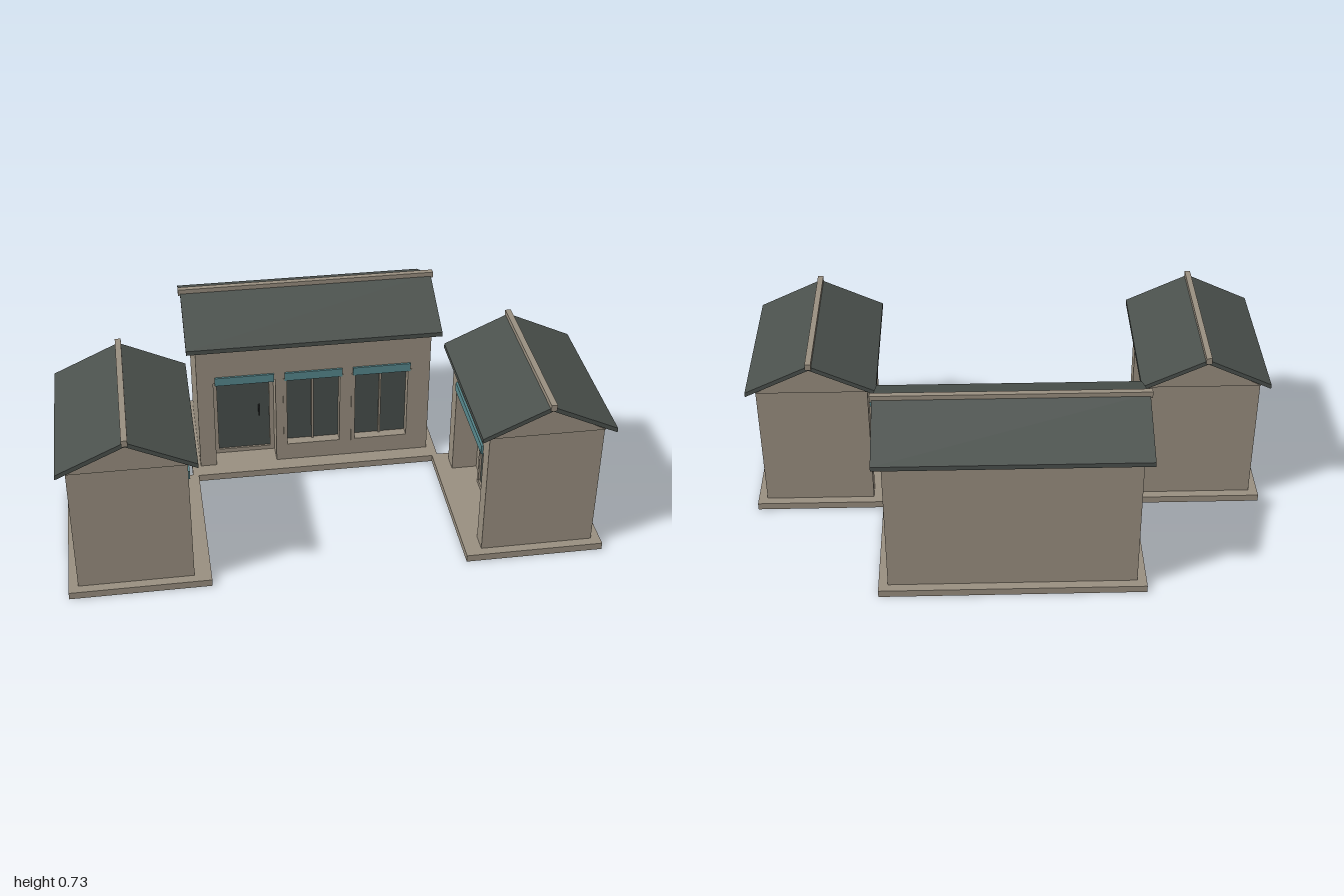
import * as THREE from 'three';

const mat = (name, color) => {
  const m = new THREE.MeshStandardMaterial({ color });
  m.name = name;
  return m;
};
const wallMat = mat('plaster', 0x988e7f);
const roofMat = mat('roof slate', 0x4a504c);
const glassMat = mat('dark glass', 0x484f4b);
const tealMat = mat('teal lintel', 0x56878c);
const handleMat = mat('handle', 0x2a2c2b);

const BASE = 0.028; // top of the plinth
const DEEP = 0.1;   // thickness of the front wall, depth of door recesses
const HEAD = 0.42;  // top of all openings

function add(group, name, geometry, material) {
  const mesh = new THREE.Mesh(geometry, material);
  mesh.name = name;
  group.add(mesh);
  return mesh;
}

// Box given by its limits on each axis
function box(group, name, material, x0, x1, y0, y1, z0, z1) {
  const mesh = add(group, name, new THREE.BoxGeometry(x1 - x0, y1 - y0, z1 - z0), material);
  mesh.position.set((x0 + x1) / 2, (y0 + y1) / 2, (z0 + z1) / 2);
  return mesh;
}

// Profile of [z, y] points extruded along x, centred
function alongX(group, name, material, points, length) {
  const shape = new THREE.Shape(points.map(([z, y]) => new THREE.Vector2(-z, y)));
  const g = new THREE.ExtrudeGeometry(shape, { depth: length, bevelEnabled: false });
  g.translate(0, 0, -length / 2);
  g.rotateY(Math.PI / 2);
  return add(group, name, g, material);
}

const rect = (T, x0, x1, y0, y1) => {
  const s = new T();
  s.moveTo(x0, y0);
  s.lineTo(x1, y0);
  s.lineTo(x1, y1);
  s.lineTo(x0, y1);
  s.closePath();
  return s;
};

// Flat frame with a hole, its back at z
function frame(group, name, x0, x1, y0, y1, bar, z, depth) {
  const s = rect(THREE.Shape, x0, x1, y0, y1);
  s.holes.push(rect(THREE.Path, x0 + bar, x1 - bar, y0 + bar, y1 - 0.006));
  const mesh = add(group, name, new THREE.ExtrudeGeometry(s, { depth, bevelEnabled: false }), wallMat);
  mesh.position.z = z;
}

function door(group, cx, back) {
  const h = 0.1225;
  frame(group, 'doorFrame', cx - h, cx + h, BASE, HEAD, 0.018, back, 0.02);
  box(group, 'door', glassMat, cx - h + 0.017, cx + h - 0.017, BASE + 0.006, HEAD - 0.004, back, back + 0.012);
  box(group, 'doorHandle', handleMat, cx + 0.06, cx + 0.066, 0.2, 0.25, back + 0.012, back + 0.022);
}

function windowUnit(group, x0, x1, front) {
  const cx = (x0 + x1) / 2;
  frame(group, 'windowFrame', x0, x1, 0.09, HEAD, 0.015, front - 0.04, 0.044);
  box(group, 'windowGlass', glassMat, x0 + 0.01, x1 - 0.01, 0.1, HEAD - 0.002, front - 0.045, front - 0.035);
  box(group, 'windowMullion', wallMat, cx - 0.004, cx + 0.004, 0.1, HEAD - 0.002, front - 0.035, front - 0.025);
}

// House facing +z: w along the ridge, d deep; openings are [x0, x1, y0]
function house(name, o) {
  const g = new THREE.Group();
  g.name = name;
  const { w, d, top, apex, tip, ridge, eave, length } = o;
  const hw = w / 2, hd = d / 2;
  const back = hd - DEEP;

  box(g, 'plinth', wallMat, -hw - 0.035, hw + 0.035, 0, BASE, -hd - 0.035, hd + 0.0625);
  box(g, 'body', wallMat, -hw, hw, BASE - 0.01, top, -hd, back);

  // Front wall with openings
  const s = rect(THREE.Shape, -hw, hw, BASE - 0.01, top);
  for (const [x0, x1, y0] of o.openings) s.holes.push(rect(THREE.Path, x0, x1, y0, HEAD));
  const front = add(g, 'frontWall', new THREE.ExtrudeGeometry(s, { depth: DEEP, bevelEnabled: false }), wallMat);
  front.position.z = back;

  // Teal lintels over the openings
  for (const [x0, x1] of o.openings)
    box(g, 'lintel', tealMat, x0 + 0.006, x1 - 0.006, HEAD - 0.006, 0.449, hd - 0.008, hd + 0.008);

  // Eave plate, gables and roof
  box(g, 'eavePlate', wallMat, -hw - 0.01, hw + 0.01, top, top + 0.016, -hd, hd + 0.028);
  alongX(g, 'gable', wallMat, [[hd, top - 0.003], [0, apex], [-hd, top - 0.003]].reverse(), w + 0.024);
  const t = 0.018;
  alongX(g, 'roof', roofMat,
    [[eave, tip], [0, ridge], [-eave, tip], [-eave, tip - t], [0, ridge - t], [eave, tip - t]], length);
  box(g, 'ridgeCap', wallMat, -length / 2 - 0.008, length / 2 + 0.008, ridge - 0.012, ridge + 0.013, -0.011, 0.011);

  if (o.doorX !== undefined) door(g, o.doorX, back);
  for (const [x0, x1] of o.windows || []) windowUnit(g, x0, x1, hd);
  return g;
}

export function createModel() {
  const model = new THREE.Group();
  model.name = 'courtyardHouses';

  // Main house at the back
  const windows = [[-0.125, 0.117], [0.149, 0.391]];
  const main = house('mainHouse', {
    w: 0.93, d: 0.445, top: 0.58, apex: 0.692, tip: 0.6, ridge: 0.718, eave: 0.257, length: 1,
    openings: [[-0.4, -0.155, BASE], ...windows.map(([a, b]) => [a, b, 0.09])],
    doorX: -0.2775, windows,
  });
  main.position.z = -0.3375;
  model.add(main);

  // Two side houses facing each other
  for (const side of [-1, 1]) {
    const wing = house(side < 0 ? 'rightHouse' : 'leftHouse', {
      w: 0.58, d: 0.425, top: 0.545, apex: 0.657, tip: 0.56, ridge: 0.675, eave: 0.2475, length: 0.65,
      openings: [[-0.22, 0.22, BASE]],
      doorX: 0,
    });
    wing.position.set(side * 0.7525, 0, 0.264);
    wing.rotation.y = -side * Math.PI / 2;
    model.add(wing);
  }
  return model;
}
